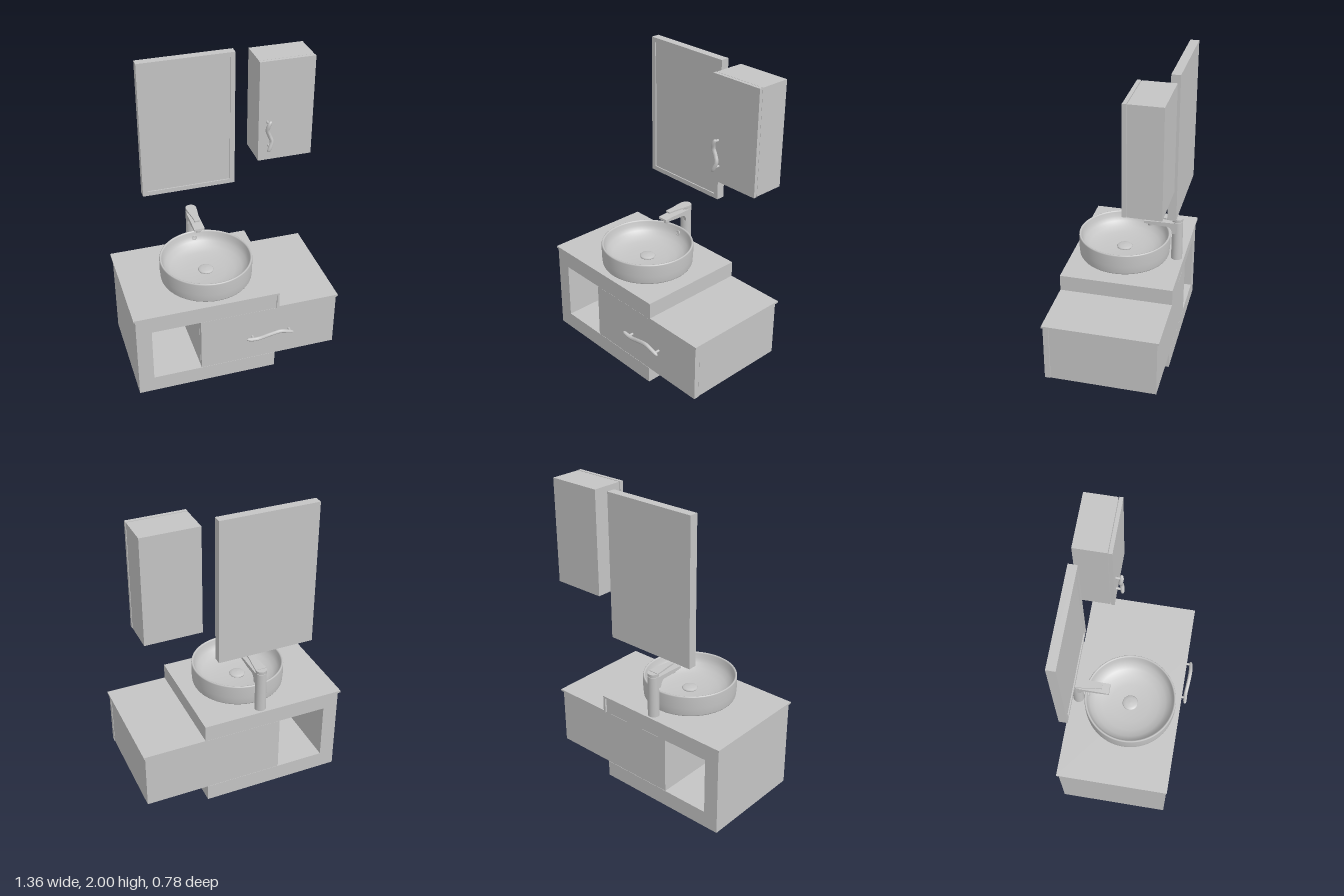
import * as THREE from 'three';

const ceramic = new THREE.MeshStandardMaterial({ color: 0xc4c4c4, side: THREE.DoubleSide });
ceramic.name = 'light grey';

function add(parent, name, geometry, x = 0, y = 0, z = 0) {
  const mesh = new THREE.Mesh(geometry, ceramic);
  mesh.name = name;
  mesh.position.set(x, y, z);
  parent.add(mesh);
  return mesh;
}

function group(parent, name) {
  const g = new THREE.Group();
  g.name = name;
  parent.add(g);
  return g;
}

// Box given by its limits on each axis
function box(parent, name, x0, x1, y0, y1, z0, z1) {
  return add(parent, name, new THREE.BoxGeometry(x1 - x0, y1 - y0, z1 - z0),
    (x0 + x1) / 2, (y0 + y1) / 2, (z0 + z1) / 2);
}

function polygon(points) {
  return new THREE.Shape(points.map(([x, y]) => new THREE.Vector2(x, y)));
}

function extrude(shape, depth) {
  return new THREE.ExtrudeGeometry(shape, { depth, bevelEnabled: false, curveSegments: 10 });
}

// Round bar along a wavy curve, closing smoothly at both ends
function wavyBar(points, radius) {
  const curve = new THREE.CatmullRomCurve3(points.map(p => new THREE.Vector3(...p)));
  const steps = 48, sides = 12;
  const geo = new THREE.TubeGeometry(curve, steps, radius, sides);
  const pos = geo.attributes.position;
  const v = new THREE.Vector3();
  for (let i = 0; i <= steps; i++) {
    const t = i / steps;
    const k = Math.sqrt(Math.max(0, 1 - Math.pow(2 * t - 1, 10)));
    const c = curve.getPointAt(t);
    for (let j = 0; j <= sides; j++) {
      const n = i * (sides + 1) + j;
      v.fromBufferAttribute(pos, n).sub(c).multiplyScalar(k).add(c);
      pos.setXYZ(n, v.x, v.y, v.z);
    }
  }
  geo.computeVertexNormals();
  return geo;
}

// Handle: wavy bar on two short posts that reach back to the door
function handle(parent, name, points, posts, doorZ, barZ) {
  const g = group(parent, name);
  add(g, 'handleBar', wavyBar(points, 0.013));
  for (const [x, y] of posts) {
    const post = new THREE.CylinderGeometry(0.008, 0.008, barZ - doorZ, 12).rotateX(Math.PI / 2);
    add(g, 'handlePost', post, x, y, (barZ + doorZ) / 2);
  }
}

function buildVanity(root) {
  const g = group(root, 'vanity');
  box(g, 'base', -0.67, 0.255, 0, 0.11, -0.378, 0.338);
  box(g, 'sidePanel', -0.67, -0.57, 0.11, 0.495, -0.378, 0.338);
  box(g, 'apron', -0.67, 0.255, 0.495, 0.602, -0.378, 0.338);
  box(g, 'drawerBody', -0.25, 0.668, 0.112, 0.494, -0.378, 0.298);
  box(g, 'drawerFront', -0.25, 0.67, 0.11, 0.492, 0.301, 0.336);

  // Stepped countertop
  const step = polygon([[-0.682, 0.602], [0.257, 0.602], [0.257, 0.495], [0.68, 0.495],
    [0.68, 0.508], [0.272, 0.508], [0.272, 0.615], [-0.682, 0.615]]);
  add(g, 'countertop', extrude(step, 0.733), 0, 0, -0.39);

  handle(g, 'drawerHandle',
    [[0.045, 0.307, 0.372], [0.075, 0.296, 0.37], [0.125, 0.291, 0.368], [0.2, 0.311, 0.374],
      [0.275, 0.325, 0.378], [0.33, 0.307, 0.375], [0.372, 0.289, 0.37]],
    [[0.095, 0.293], [0.347, 0.3]], 0.336, 0.37);
}

function buildBasin(root) {
  const g = group(root, 'basin');
  g.position.set(-0.122, 0.615, 0.01);
  // Outer wall, rounded rim, then the bowl down to the drain
  const wall = [[0, 0], [0.285, 0], [0.294, 0.004], [0.298, 0.012], [0.302, 0.06], [0.302, 0.138],
    [0.3, 0.144], [0.296, 0.146], [0.29, 0.144], [0.287, 0.138], [0.281, 0.11], [0.266, 0.08],
    [0.235, 0.054], [0.19, 0.037], [0.13, 0.028], [0.05, 0.023], [0, 0.022]];
  add(g, 'bowl', new THREE.LatheGeometry(wall.map(p => new THREE.Vector2(...p)), 64));

  const plug = [[0.03, 0.02], [0.03, 0.034], [0.05, 0.036], [0.052, 0.041], [0.047, 0.046],
    [0.03, 0.051], [0, 0.053]];
  add(g, 'drainPlug', new THREE.LatheGeometry(plug.map(p => new THREE.Vector2(...p)), 32));

  const ring = add(g, 'overflowRing', new THREE.TorusGeometry(0.014, 0.004, 8, 24), 0, 0.104, -0.277);
  ring.rotation.x = -0.25;
  const cover = add(g, 'overflowCover', new THREE.CircleGeometry(0.013, 24), 0, 0.104, -0.276);
  cover.rotation.x = -0.25;
}

function buildFaucet(root) {
  const g = group(root, 'faucet');
  g.position.set(-0.124, 0, -0.341);
  add(g, 'column', new THREE.CylinderGeometry(0.035, 0.037, 0.276, 32), 0, 0.753, 0);
  add(g, 'columnCap', new THREE.CylinderGeometry(0.036, 0.035, 0.02, 32), 0, 0.904, 0);

  // Spout: side profile swept across the width, with a fillet under its root
  const side = new THREE.Shape();
  side.moveTo(0, 0.888);
  side.lineTo(0.15, 0.886);
  side.lineTo(0.215, 0.882);
  side.lineTo(0.217, 0.867);
  side.lineTo(0.13, 0.859);
  side.lineTo(0.07, 0.859);
  side.quadraticCurveTo(0.034, 0.858, 0.032, 0.81);
  side.lineTo(0, 0.81);
  const spout = extrude(side, 0.07).rotateY(-Math.PI / 2);
  add(g, 'spout', spout, 0.035, 0, 0);
  add(g, 'aerator', new THREE.CylinderGeometry(0.02, 0.018, 0.022, 24), 0, 0.852, 0.178);

  // Flat lever tapering towards the front
  const plan = polygon([[-0.036, 0], [0.036, 0], [0.03, -0.06], [0.021, -0.12], [0.018, -0.168],
    [-0.018, -0.168], [-0.021, -0.12], [-0.03, -0.06]]);
  add(g, 'lever', extrude(plan, 0.01).rotateX(-Math.PI / 2), 0, 0.907, 0);
}

function buildMirror(root) {
  const g = group(root, 'mirror');
  const frame = polygon([[-0.445, 1.07], [0.177, 1.07], [0.177, 2], [-0.445, 2]]);
  frame.holes.push(new THREE.Path(
    [[-0.413, 1.1], [-0.413, 1.97], [0.145, 1.97], [0.145, 1.1]].map(p => new THREE.Vector2(...p))));
  add(g, 'mirrorFrame', extrude(frame, 0.056), 0, 0, -0.382);
  box(g, 'mirrorGlass', -0.413, 0.145, 1.1, 1.97, -0.382, -0.334);
}

function buildWallCabinet(root) {
  const g = group(root, 'wallCabinet');
  box(g, 'cabinetBody', 0.278, 0.634, 1.315, 1.99, -0.382, -0.18);
  box(g, 'cabinetDoor', 0.276, 0.636, 1.314, 1.991, -0.176, -0.153);
  handle(g, 'cabinetHandle',
    [[0.346, 1.605, -0.118], [0.331, 1.575, -0.116], [0.325, 1.54, -0.122], [0.34, 1.5, -0.125],
      [0.354, 1.46, -0.121], [0.342, 1.42, -0.114], [0.328, 1.39, -0.112]],
    [[0.332, 1.585], [0.342, 1.42]], -0.153, -0.118);
}

export function createModel() {
  const root = new THREE.Group();
  root.name = 'bathroomVanitySet';
  buildVanity(root);
  buildBasin(root);
  buildFaucet(root);
  buildMirror(root);
  buildWallCabinet(root);
  return root;
}
